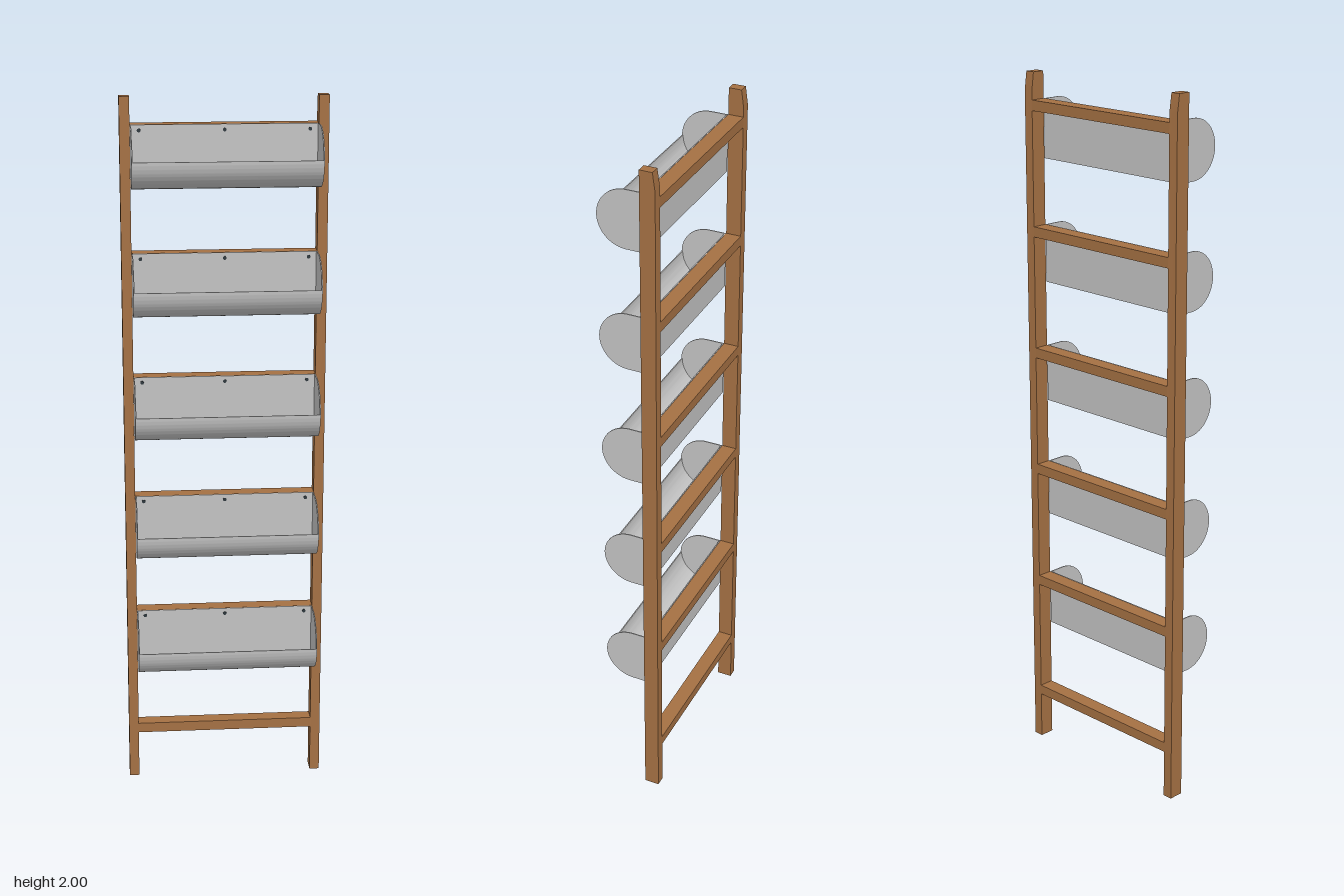
import * as THREE from 'three';
import { toCreasedNormals } from 'three/addons/utils/BufferGeometryUtils.js';

const BACK = -0.044, R = 0.082, CZ = 0.005; // bin back plane, curve radius, curve centre
const HALF = 0.255, WALL = 0.003;

// Extrude a (z, y) outline along x, centred on x = 0
function extrudeX(shape, width) {
  const geo = new THREE.ExtrudeGeometry(shape, { depth: width, bevelEnabled: false, curveSegments: 24 });
  geo.translate(0, 0, -width / 2).rotateY(-Math.PI / 2);
  return toCreasedNormals(geo, 0.5);
}

export function createModel() {
  const model = new THREE.Group();
  const wood = new THREE.MeshStandardMaterial({ color: 0xa47043 });
  wood.name = 'wood';
  const metal = new THREE.MeshStandardMaterial({ color: 0xc2c2c2 });
  metal.name = 'sheet metal';
  const dark = new THREE.MeshStandardMaterial({ color: 0x2c363c });
  dark.name = 'dark screw';

  const add = (parent, name, geo, mat, x = 0, y = 0, z = 0) => {
    const mesh = new THREE.Mesh(geo, mat);
    mesh.name = name;
    mesh.position.set(x, y, z);
    parent.add(mesh);
  };

  // Upright rails, with the back tapered at the top
  const railShape = new THREE.Shape([[-0.088, 0], [-0.045, 0], [-0.045, 2], [-0.081, 2], [-0.088, 1.95]]
    .map(([z, y]) => new THREE.Vector2(z, y)));
  const railGeo = extrudeX(railShape, 0.028);
  add(model, 'leftRail', railGeo, wood, 0.269);
  add(model, 'rightRail', railGeo, wood, -0.269);

  // Rungs: one low, then one behind each bin
  const rungGeo = new THREE.BoxGeometry(HALF * 2, 0.029, 0.043);
  add(model, 'bottomRung', rungGeo, wood, 0, 0.154, -0.0665);

  // Trough sheet: tall back, flat floor, curved front up to half height
  const trough = new THREE.Shape();
  trough.moveTo(BACK, R);
  trough.lineTo(BACK, -R);
  trough.lineTo(CZ, -R);
  trough.absarc(CZ, 0, R, -Math.PI / 2, 0, false);
  trough.lineTo(CZ + R - WALL, 0);
  trough.absarc(CZ, 0, R - WALL, 0, -Math.PI / 2, true);
  trough.lineTo(BACK + WALL, -R + WALL);
  trough.lineTo(BACK + WALL, R);
  trough.closePath();
  const troughGeo = extrudeX(trough, (HALF - WALL) * 2);

  // D-shaped end plate
  const end = new THREE.Shape();
  end.moveTo(BACK, R);
  end.lineTo(BACK, -R);
  end.lineTo(CZ, -R);
  end.absarc(CZ, 0, R, -Math.PI / 2, Math.PI / 2, false);
  end.closePath();
  const endGeo = extrudeX(end, WALL);

  const screwGeo = new THREE.CylinderGeometry(0.005, 0.005, 0.002, 16).rotateX(Math.PI / 2);

  for (let i = 0; i < 5; i++) {
    const y = 0.446 + i * 0.3493;
    add(model, 'rung', rungGeo, wood, 0, y + R - 0.0145, -0.0665);
    const bin = new THREE.Group();
    bin.name = 'bin';
    bin.position.y = y;
    add(bin, 'trough', troughGeo, metal);
    for (const s of [-1, 1]) add(bin, 'endPlate', endGeo, metal, s * (HALF - WALL / 2));
    for (const x of [-0.231, 0, 0.231]) add(bin, 'screw', screwGeo, dark, x, 0.067, BACK + WALL + 0.0005);
    model.add(bin);
  }
  return model;
}
